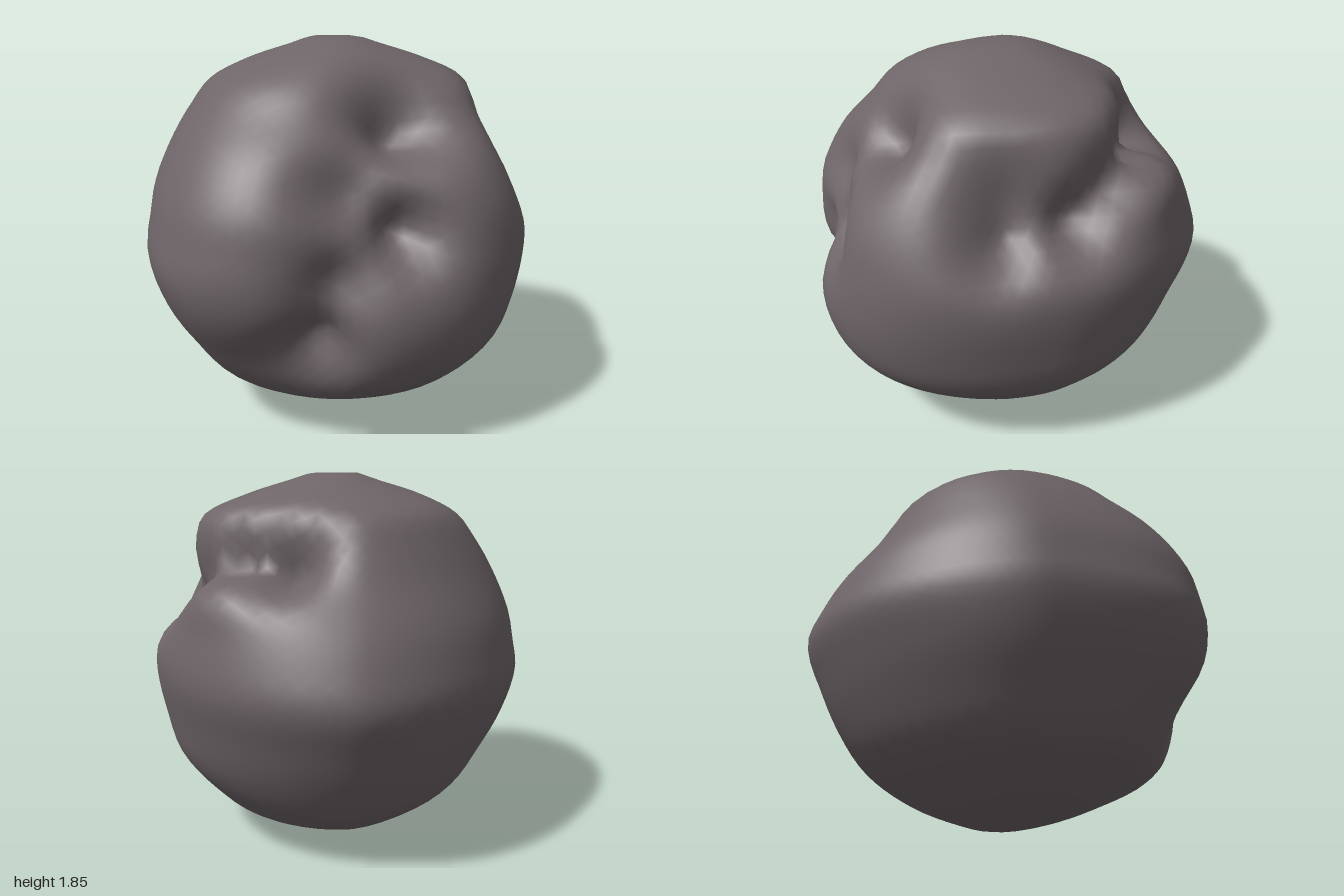
import * as THREE from 'three';
import { mergeVertices } from 'three/addons/utils/BufferGeometryUtils.js';

// Body outline by height: y, then reach to -x, +x, -z, +z
const OUTLINE = [
  [0, 0.03, 0.12, 0.12, 0.06],
  [0.04, 0.22, 0.3, 0.27, 0.28],
  [0.15, 0.48, 0.56, 0.52, 0.56],
  [0.25, 0.64, 0.67, 0.67, 0.76],
  [0.45, 0.78, 0.84, 0.82, 0.94],
  [0.65, 0.89, 0.9, 0.92, 1.0],
  [0.87, 0.95, 0.94, 1.0, 0.99],
  [1.0, 0.93, 0.94, 0.96, 0.97],
  [1.15, 0.9, 0.89, 0.89, 0.95],
  [1.38, 0.8, 0.8, 0.73, 0.83],
  [1.54, 0.7, 0.74, 0.64, 0.68],
  [1.66, 0.6, 0.67, 0.56, 0.59],
  [1.75, 0.42, 0.46, 0.36, 0.48],
  [1.82, 0.2, 0.24, 0.2, 0.34],
  [1.855, 0.08, 0.1, 0.05, 0.12],
];

// Squareness of each quarter in plan: y, then front -x, front +x, back -x, back +x
const SQUARENESS = [
  [0, 2, 2, 1.7, 1.9],
  [0.25, 2.3, 2.3, 1.65, 1.88],
  [0.87, 3, 2.55, 1.6, 1.86],
  [1.15, 2.9, 2.6, 1.65, 2.1],
  [1.38, 2.8, 2.6, 1.7, 2.9],
  [1.6, 2.5, 2.5, 1.8, 2.3],
  [1.855, 2, 2, 2, 2],
];
const HEIGHT = 1.855;
const CENTRE = new THREE.Vector3(0, 0.93, 0);

// Craters: a point in the direction of the pit, depth (share of radius), angular spread
const CRATERS = [
  // front trough, from the upper notch down to the lower pit
  [0.17, 1.43, 0.55, 0.24, 0.23],
  [0.12, 1.03, 0.6, 0.24, 0.17],
  [-0.07, 1.17, 0.65, 0.14, 0.2],
  [-0.12, 0.88, 0.8, 0.14, 0.17],
  [-0.17, 0.65, 0.72, 0.18, 0.16],
  [-0.36, 0.56, 0.7, 0.07, 0.27],
  // upper back pit and the notch behind its lip
  [0.22, 1.36, -0.46, 0.28, 0.19],
  [0.48, 1.43, -0.42, 0.2, 0.15],
  [0.62, 1.33, -0.26, 0.17, 0.16],
  // shelf along the +x side
  [0.64, 1.19, -0.08, 0.23, 0.18],
  [0.68, 1.14, 0.2, 0.16, 0.17],
  [0.68, 1.34, 0.2, 0.14, 0.21],
];

// Latitude angle of a height, which spreads the rows evenly
const latitude = (y) => Math.asin(THREE.MathUtils.clamp((2 * y) / HEIGHT - 1, -1, 1));

// Smooth curve through the rows of a table
const smoothRows = (rows) => new THREE.CubicInterpolant(
  rows.map((row) => latitude(row[0])), rows.flatMap((row) => row.slice(1)), 4);
const outline = smoothRows(OUTLINE);
const squareness = smoothRows(SQUARENESS);

// True if a point lies inside the uncratered body
function inside(p) {
  if (p.y <= 0 || p.y >= HEIGHT) return false;
  const angle = latitude(p.y);
  const [left, right, back, front] = outline.evaluate(angle);
  const x = Math.abs(p.x) / (p.x < 0 ? left : right);
  const z = Math.abs(p.z) / (p.z < 0 ? back : front);
  const power = squareness.evaluate(angle)[(p.z > 0 ? 0 : 2) + (p.x < 0 ? 0 : 1)];
  return x ** power + z ** power < 1;
}

// Distance from the centre to the body surface along a direction
function bodyRadius(dir) {
  let lo = 0.2, hi = 1.5;
  const p = new THREE.Vector3();
  for (let i = 0; i < 18; i++) {
    const mid = (lo + hi) / 2;
    if (inside(p.copy(CENTRE).addScaledVector(dir, mid))) lo = mid;
    else hi = mid;
  }
  return lo;
}

export function createModel() {
  const craters = CRATERS.map(([x, y, z, depth, spread]) => ({
    dir: new THREE.Vector3(x, y, z).sub(CENTRE).normalize(), depth, spread,
  }));

  // Boulder: a sphere pushed out to the body outline, then dented
  let geometry = new THREE.IcosahedronGeometry(1, 16);
  geometry.deleteAttribute('uv');
  geometry.deleteAttribute('normal');
  geometry = mergeVertices(geometry, 1e-4);
  const pos = geometry.attributes.position;
  const dir = new THREE.Vector3();
  for (let i = 0; i < pos.count; i++) {
    dir.fromBufferAttribute(pos, i).normalize();
    let r = bodyRadius(dir);
    for (const c of craters) {
      r *= 1 - c.depth * Math.exp(-((dir.angleTo(c.dir) / c.spread) ** 2));
    }
    dir.multiplyScalar(r).add(CENTRE);
    pos.setXYZ(i, dir.x, dir.y, dir.z);
  }
  geometry.computeVertexNormals();

  const rock = new THREE.Mesh(geometry, new THREE.MeshStandardMaterial({ color: 0x6e6568 }));
  rock.name = 'rock';
  const group = new THREE.Group();
  group.name = 'crateredRock';
  group.add(rock);
  return group;
}
